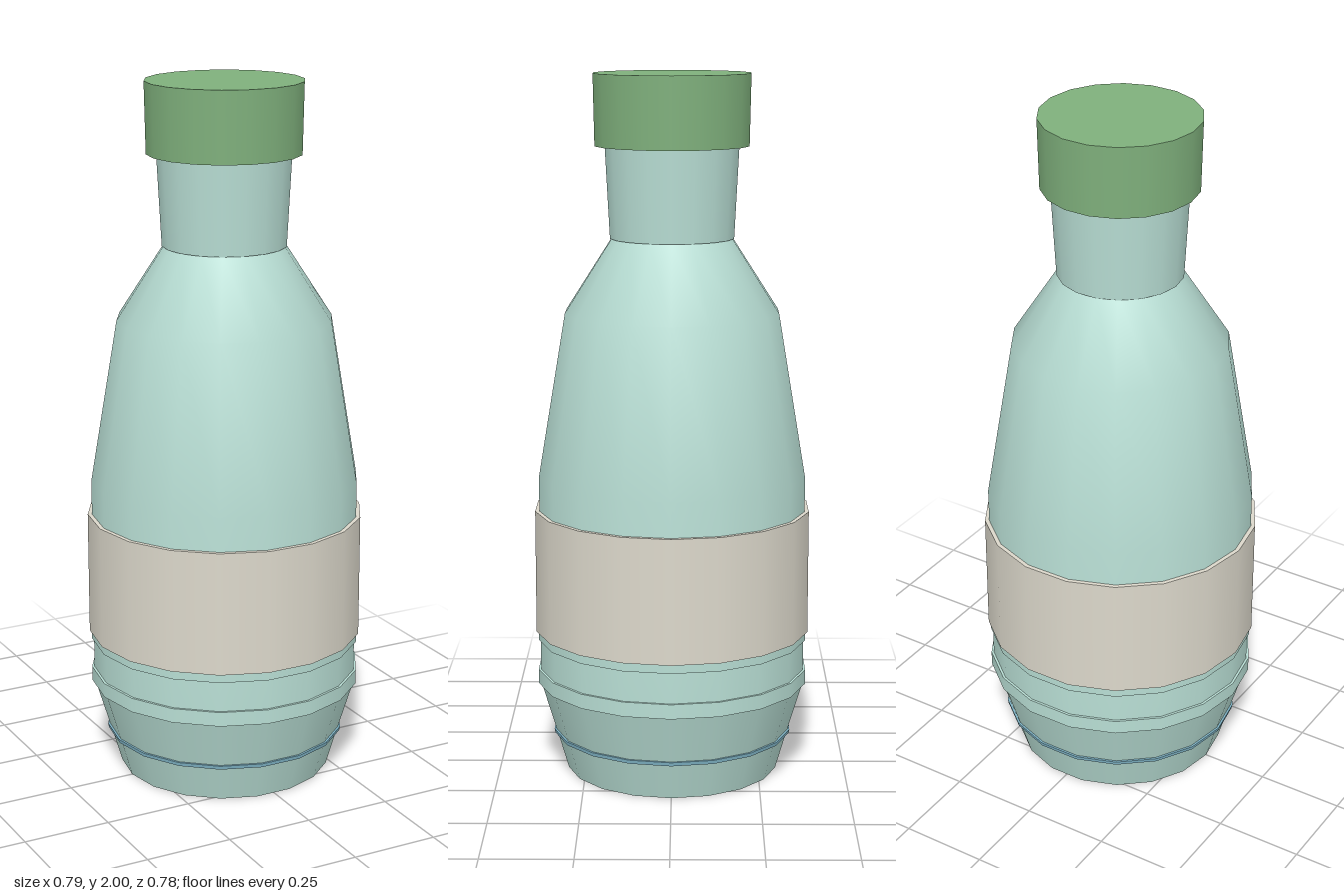
import * as THREE from 'three';

const SIDES = 18;

function material(name, color) {
  const m = new THREE.MeshStandardMaterial({ color });
  m.name = name;
  return m;
}

// Revolves [radius, height] points listed upwards; a repeated point makes a sharp edge.
function turned(name, profile, mat) {
  const points = profile.map(([r, y]) => new THREE.Vector2(r, y));
  const mesh = new THREE.Mesh(new THREE.LatheGeometry(points, SIDES, Math.PI / 2), mat);
  mesh.name = name;
  return mesh;
}

// Closed band with sharp rims.
function band(name, inner, r0, r1, y0, y1, mat) {
  return turned(name, [
    [inner, y0], [r0, y0], [r0, y0], [r1, y1], [r1, y1], [inner, y1],
  ], mat);
}

export function createModel() {
  const glass = material('pale teal glass', 0xb8ded4);
  const green = material('green cap', 0x7fb07c);
  const paper = material('cream label', 0xdcd8cb);
  const blue = material('blue trim', 0x7fb4c6);

  const bottle = new THREE.Group();
  bottle.name = 'bottle';
  bottle.add(
    // tapered foot with flat underside
    turned('foot', [[0, 0], [0.305, 0], [0.305, 0], [0.337, 0.11], [0.337, 0.11], [0.382, 0.26]], glass),
    band('footTrim', 0.32, 0.344, 0.346, 0.108, 0.119, blue),
    // raised rings below the label
    band('lowerRing', 0.36, 0.39, 0.39, 0.26, 0.302, glass),
    band('upperRing', 0.36, 0.389, 0.389, 0.39, 0.415, glass),
    // main body and shoulder
    turned('body', [[0.383, 0.26], [0.383, 0.87], [0.305, 1.335], [0.17, 1.545]], glass),
    band('label', 0.37, 0.395, 0.395, 0.415, 0.77, paper),
    band('neck', 0, 0.176, 0.19, 1.543, 1.81, glass),
    band('cap', 0, 0.218, 0.222, 1.8, 2, green),
  );
  return bottle;
}
